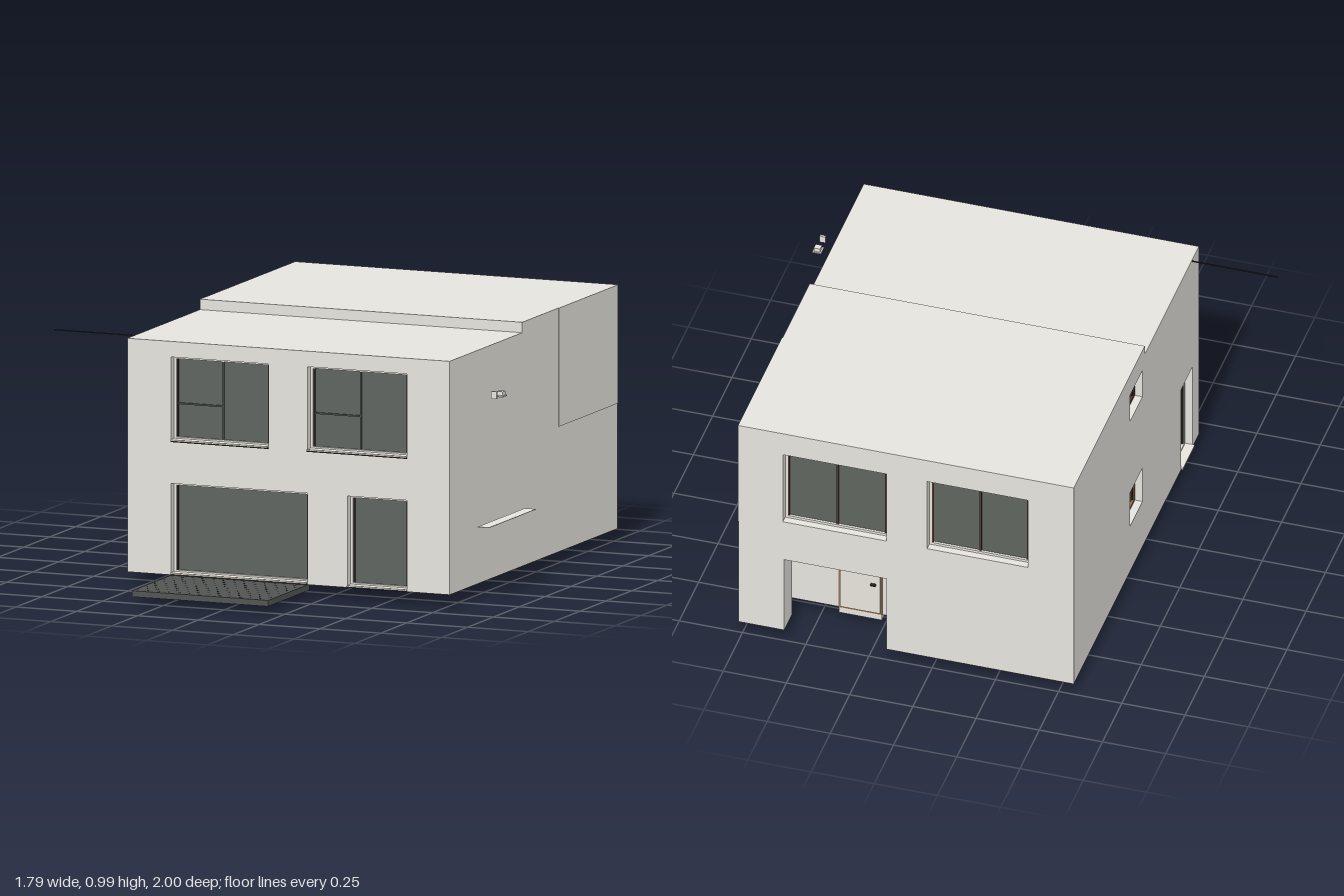
import * as THREE from 'three';

const mat = (name, color) => {
  const m = new THREE.MeshStandardMaterial({ color });
  m.name = name;
  return m;
};

export function createModel() {
  const house = new THREE.Group();
  house.name = 'house';
  const wall = mat('wall', 0xe6e4dd), glass = mat('glass', 0x5f645f), deckGrey = mat('deck', 0x515552);
  const frame = mat('frame', 0xece9e2), dark = mat('darkTrim', 0x2b2724), brown = mat('floor', 0xba9473);
  const wood = mat('wood', 0x9a6c4a), darkWood = mat('darkWood', 0x4f382d);

  const add = (parent, name, geo, m) => {
    const mesh = new THREE.Mesh(geo, m);
    mesh.name = name;
    parent.add(mesh);
    return mesh;
  };
  // Box given by its limits on each axis
  const box = (name, m, x0, x1, y0, y1, z0, z1, parent = house) => {
    const b = add(parent, name, new THREE.BoxGeometry(x1 - x0, y1 - y0, z1 - z0), m);
    b.position.set((x0 + x1) / 2, (y0 + y1) / 2, (z0 + z1) / 2);
    return b;
  };
  // Extruded outline with rectangular openings [u0, u1, y0, y1]
  const panel = (points, openings, depth) => {
    const vec = (p) => new THREE.Vector2(p[0], p[1]);
    const shape = new THREE.Shape(points.map(vec));
    for (const [a, b, c, d] of openings)
      shape.holes.push(new THREE.Path([[a, c], [a, d], [b, d], [b, c]].map(vec)));
    return new THREE.ExtrudeGeometry(shape, { depth, bevelEnabled: false });
  };

  // Main limits
  const L = -0.56, R = 0.765, F = 0.62, B = -1, Y = 0.05, T = 0.05;
  const low = 0.945, high = 0.985, step = -0.08;
  const upper = [[-0.38, 0.02, 0.565, 0.885], [0.18, 0.59, 0.565, 0.885]];
  const lower = [[-0.38, 0.18, 0.054, 0.4], [0.345, 0.59, 0.054, 0.4]];
  const sideWindows = [[-0.27, -0.11, 0.765, 0.89], [-0.27, -0.11, 0.265, 0.425]];
  const sideDoor = [0.39, 0.54, 0.054, 0.43];

  // Front and back walls; the back one is notched for the porch
  const px0 = 0.18, px1 = 0.585, px2 = 0.66, pTop = 0.385, pMid = -0.9, pz = -0.8;
  add(house, 'frontWall', panel([[L, Y], [R, Y], [R, low], [L, low]], [...upper, ...lower], T), wall).position.z = F - T;
  add(house, 'backWall', panel([[L, Y], [px0, Y], [px0, pTop], [px1, pTop], [px1, Y], [R, Y], [R, high], [L, high]],
    upper, T), wall).position.z = B;

  // Side walls with stepped top
  const profile = [[B + T, Y], [F - T, Y], [F - T, low], [step, low], [step, high], [B + T, high]];
  const side = (name, x, openings) => {
    add(house, name, panel(profile, openings, T).rotateY(-Math.PI / 2), wall).position.x = x;
  };
  side('rightWall', R, []);
  side('leftWall', L + T, [...sideWindows, sideDoor]);

  // Roof at two levels
  box('frontRoof', wall, L + T, R - T, low - 0.04, low, step, F - T);
  box('rearRoof', wall, L + T, R - T, low - 0.04, high, B + T, step);
  box('sidePanel', wall, R, R + 0.003, 0.53, high, B, -0.43);

  // Porch lining, widening behind the corner pillar, with door and step
  box('porchCeiling', wall, px0 - 0.02, px2 + 0.02, pTop, pTop + 0.02, B + T, pz + 0.02);
  box('porchBack', wall, px0 - 0.02, px2 + 0.02, Y, pTop, pz, pz + 0.02);
  box('porchSide', wall, px0 - 0.02, px0, Y, pTop, B + T, pz);
  box('porchSide', wall, px2, px2 + 0.02, Y, pTop, pMid, pz);
  box('porchPillar', wall, px1, R - T, Y, pTop, B + T, pMid);
  box('backDoorFrame', wood, 0.258, 0.43, Y, 0.357, pz - 0.004, pz);
  box('backDoor', frame, 0.265, 0.423, Y + 0.008, 0.35, pz - 0.009, pz - 0.003);
  box('backDoorHandle', dark, 0.28, 0.3, 0.19, 0.197, pz - 0.02, pz - 0.009);
  box('backStep', wall, 0.26, 0.43, 0.022, Y, -0.8, -0.77);

  // Floor underside with pale areas
  const plate = (name, m, points, y, depth) => {
    add(house, name, panel(points, [], depth).rotateX(Math.PI / 2), m).position.y = y;
  };
  plate('floor', brown, [[L, B], [px0, B], [px0, pz], [px2, pz], [px2, pMid], [px1, pMid], [px1, B],
    [R, B], [R, F], [L, F]], Y, 0.001);
  plate('paleFloor', wall, [[0.53, -0.38], [0.76, -0.38], [0.76, -0.04], [0.34, -0.04], [0.34, -0.24], [0.53, -0.24]],
    Y - 0.001, 0.001);

  // Window or glazed door, built facing +z with its outer wall face at z = 0
  const glazing = (name, w, h, { edge = dark, surround = frame, mullion = false, rail = false, lip = null }) => {
    const g = new THREE.Group();
    g.name = name;
    const x = w / 2, y = h / 2, t = 0.01;
    box('glass', glass, -x, x, -y, y, -0.045, -0.04, g);
    for (const s of [-1, 1]) {
      box('jamb', surround, s * (x - t / 2) - t / 2, s * (x - t / 2) + t / 2, -y, y, -0.04, -0.03, g);
      box('sashEdge', edge, s * (x - t - 0.003) - 0.003, s * (x - t - 0.003) + 0.003, -y + t, y - t, -0.04, -0.034, g);
      box('frameRail', surround, -x + t, x - t, s * (y - t / 2) - t / 2, s * (y - t / 2) + t / 2, -0.04, -0.03, g);
    }
    if (mullion) box('mullion', edge, -0.004, 0.004, -y + t, y - t, -0.04, -0.034, g);
    if (rail) {
      box('mullion', deckGrey, -0.003, 0.003, -y + t, y - t, -0.04, -0.034, g);
      box('sashRail', deckGrey, -x + t, -0.003, -0.025, -0.019, -0.04, -0.034, g);
    }
    if (lip) {
      box('sill', frame, -x, x, -y, -y + 0.004, -0.03, 0.008, g);
      box('sillLip', lip, -x, x, -y - 0.005, -y, 0, 0.008, g);
    }
    house.add(g);
    return g;
  };
  const mid = (a, b) => (a + b) / 2;
  upper.forEach(([a, b, c, d]) => {
    glazing('frontWindow', b - a, d - c, { rail: true, lip: dark }).position.set(mid(a, b), mid(c, d), F);
    const back = glazing('backWindow', b - a, d - c, { edge: darkWood, mullion: true });
    back.position.set(mid(a, b), mid(c, d), B);
    back.rotation.y = Math.PI;
  });
  lower.forEach(([a, b, c, d], i) => {
    glazing(i ? 'frontDoor' : 'patioDoor', b - a, d - c, { lip: dark }).position.set(mid(a, b), mid(c, d), F);
  });
  [...sideWindows, sideDoor].forEach(([a, b, c, d], i) => {
    const options = i < 2 ? { surround: i ? wood : darkWood } : { lip: frame };
    const g = glazing(i < 2 ? 'sideWindow' : 'sideDoor', b - a, d - c, options);
    g.position.set(L, mid(c, d), mid(a, b));
    g.rotation.y = -Math.PI / 2;
  });

  // Deck with staggered rows of small dark perforations
  box('deck', deckGrey, -0.38, 0.18, 0.025, 0.048, 0.6, 1);
  for (let r = 0; r < 9; r++)
    for (let c = 0; c < 13; c++) {
      const x = -0.365 + c * 0.042 + (r % 2) * 0.02, z = 0.645 + r * 0.041;
      box('deckHole', dark, x - 0.004, x + 0.004, 0.048, 0.0485, z - 0.004, z + 0.004);
    }

  // Thin rod at the eaves, and detached shelf and fittings beside the right wall
  box('eavesRod', dark, -0.9, L, 0.939, 0.943, 0.528, 0.532);
  box('shelf', wall, 0.842, 0.888, 0.299, 0.301, 0.075, 0.53);
  box('fittingBase', wall, 0.855, 0.89, 0.78, 0.785, 0.36, 0.4);
  box('fittingTop', wall, 0.86, 0.885, 0.785, 0.8, 0.365, 0.39);
  box('bracket', wall, 0.86, 0.882, 0.78, 0.808, 0.432, 0.442);

  // Slanted vent under the left edge, with dark slats
  const slanted = (name, m, w, h, d, y) => {
    const geo = new THREE.BoxGeometry(w, h, d).translate(0, y, 0);
    const p = geo.attributes.position;
    for (let i = 0; i < p.count; i++) {
      p.setX(i, p.getX(i) + p.getY(i) * 0.65);
      p.setZ(i, p.getZ(i) - p.getY(i) * 0.6);
    }
    geo.computeVertexNormals();
    add(house, name, geo, m).position.set(-0.455, 0.023, 0.108);
  };
  slanted('vent', wall, 0.08, 0.046, 0.04, 0);
  for (const y of [-0.01, 0.008]) slanted('ventSlat', dark, 0.082, 0.004, 0.042, y);

  return house;
}
